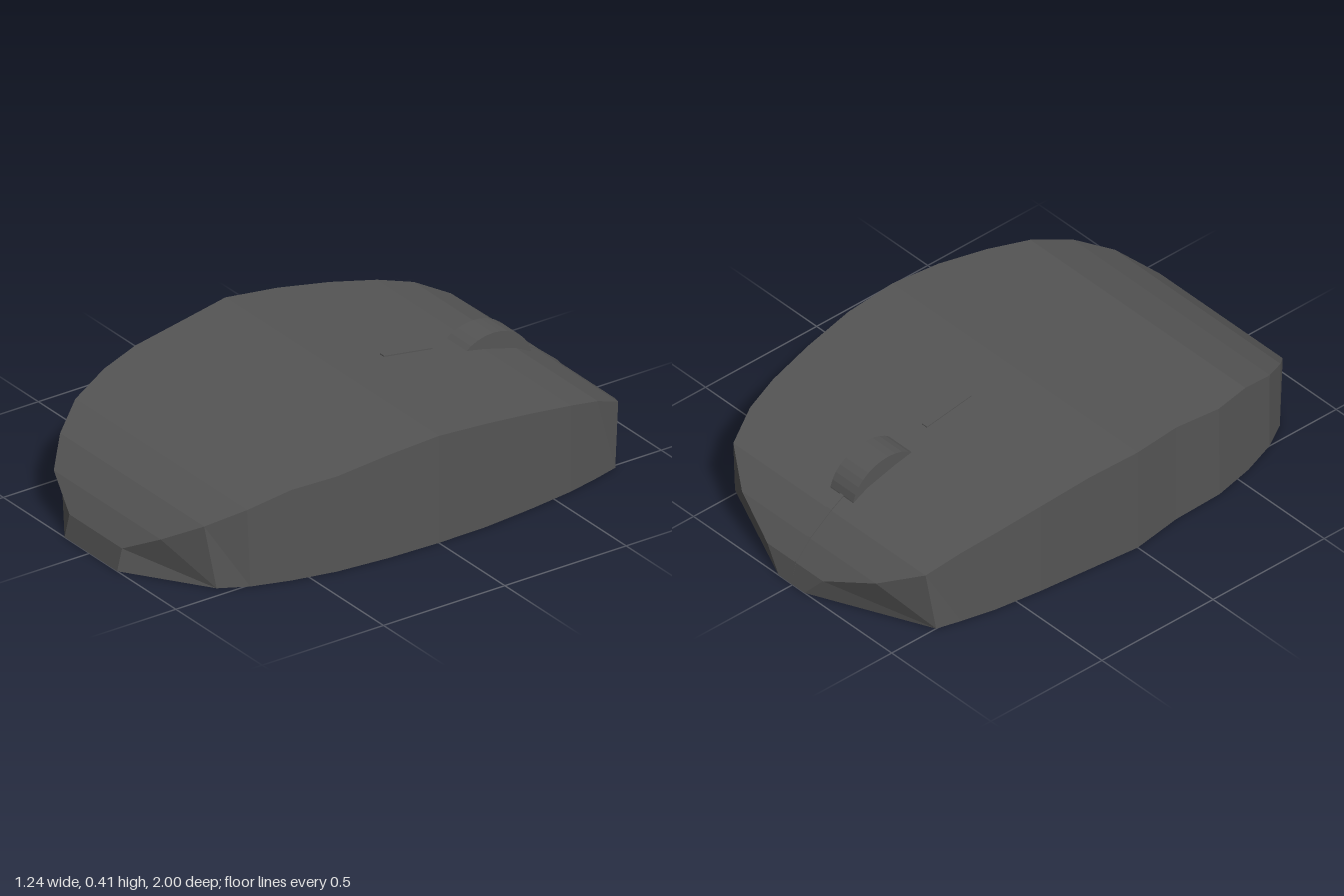
import * as THREE from 'three';

// Stations from front to back: z, top height, top left/right x, bottom z, bottom left/right x
const STATIONS = [
  [1.00, 0.00, -0.145, 0.16, 1.0, -0.145, 0.16],
  [0.98, 0.08, -0.145, 0.16, 0.8, -0.44, 0.455],
  [0.92, 0.155, -0.32, 0.30, 0.8, -0.44, 0.455],
  [0.83, 0.23, -0.41, 0.425, 0.8, -0.44, 0.455],
  [0.71, 0.29, -0.49, 0.505, 0.7, -0.5, 0.51],
  [0.56, 0.34, -0.535, 0.55, 0.56, -0.55, 0.555],
  [0.40, 0.36, -0.58, 0.59, 0.4, -0.585, 0.59],
  [0.20, 0.39, -0.59, 0.61, 0.2, -0.59, 0.61],
  [0.00, 0.405, -0.62, 0.618, 0.0, -0.62, 0.618],
  [-0.20, 0.39, -0.60, 0.615, -0.2, -0.6, 0.615],
  [-0.40, 0.36, -0.58, 0.595, -0.4, -0.58, 0.595],
  [-0.58, 0.325, -0.555, 0.57, -0.58, -0.555, 0.57],
  [-0.71, 0.29, -0.525, 0.54, -0.71, -0.525, 0.54],
  [-0.83, 0.23, -0.48, 0.49, -0.8, -0.5, 0.515],
  [-0.92, 0.155, -0.33, 0.345, -0.8, -0.5, 0.515],
  [-0.98, 0.08, -0.13, 0.15, -0.8, -0.5, 0.515],
  [-1.00, 0.00, -0.06, 0.07, -1.0, -0.06, 0.07],
];

// Height of the shell top at z
function topHeight(z) {
  for (let i = 1; i < STATIONS.length; i++) {
    const [z0, y0] = STATIONS[i - 1], [z1, y1] = STATIONS[i];
    if (z >= z1) return THREE.MathUtils.lerp(y0, y1, (z - z0) / (z1 - z0));
  }
  return 0;
}

// Skin closed rings of points, without sharing vertices
function loft(rings) {
  const pos = [];
  const v = [new THREE.Vector3(), new THREE.Vector3(), new THREE.Vector3()];
  const tri = (...pts) => {
    pts.forEach((p, i) => v[i].set(...p));
    const area = v[1].clone().sub(v[0]).cross(v[2].clone().sub(v[0])).length();
    if (area > 1e-8) pts.forEach((p) => pos.push(...p));
  };
  for (let s = 0; s < rings.length - 1; s++) {
    const a = rings[s], b = rings[s + 1];
    for (let i = 0; i < a.length; i++) {
      const j = (i + 1) % a.length;
      tri(a[i], a[j], b[j]);
      tri(a[i], b[j], b[i]);
    }
  }
  const geo = new THREE.BufferGeometry();
  geo.setAttribute('position', new THREE.Float32BufferAttribute(pos, 3));
  geo.computeVertexNormals();
  return geo;
}

export function createModel() {
  const group = new THREE.Group();
  const material = new THREE.MeshStandardMaterial({ color: 0x555555, flatShading: true });
  const add = (name, geo) => {
    const mesh = new THREE.Mesh(geo, material);
    mesh.name = name;
    group.add(mesh);
    return mesh;
  };

  // Domed shell with a flat underside
  add('shell', loft(STATIONS.map(([z, y, l, r, bz, bl, br]) => [
    [bl, 0, bz], [l, y, z], [r, y, z], [br, 0, bz],
  ])));

  // Scroll wheel, half sunk into the shell
  const wheel = add('scrollWheel', new THREE.CylinderGeometry(1, 1, 0.115, 32).rotateZ(Math.PI / 2));
  wheel.scale.set(1, 0.14, 0.16);
  wheel.position.set(0.007, 0.235, -0.615);

  // Thin seam strips that follow the shell, each given as [z, half width] points
  const seam = (name, points) => add(name, loft(points.map(([z, w]) => {
    const y = topHeight(z), x = 0.007;
    const h = w > 0 ? 0.004 : 0;
    return [[x - w, y - 0.01, z], [x - w, y + h, z], [x + w, y + h, z], [x + w, y - 0.01, z]];
  })));
  seam('rearSeam', [[-0.2, 0], [-0.2, 0.012], [-0.3, 0.012], [-0.4, 0.012], [-0.4, 0]]);
  seam('buttonSeam', [[-0.76, 0.008], [-0.83, 0.012], [-0.92, 0.007], [-0.98, 0.003], [-0.995, 0]]);

  return group;
}
